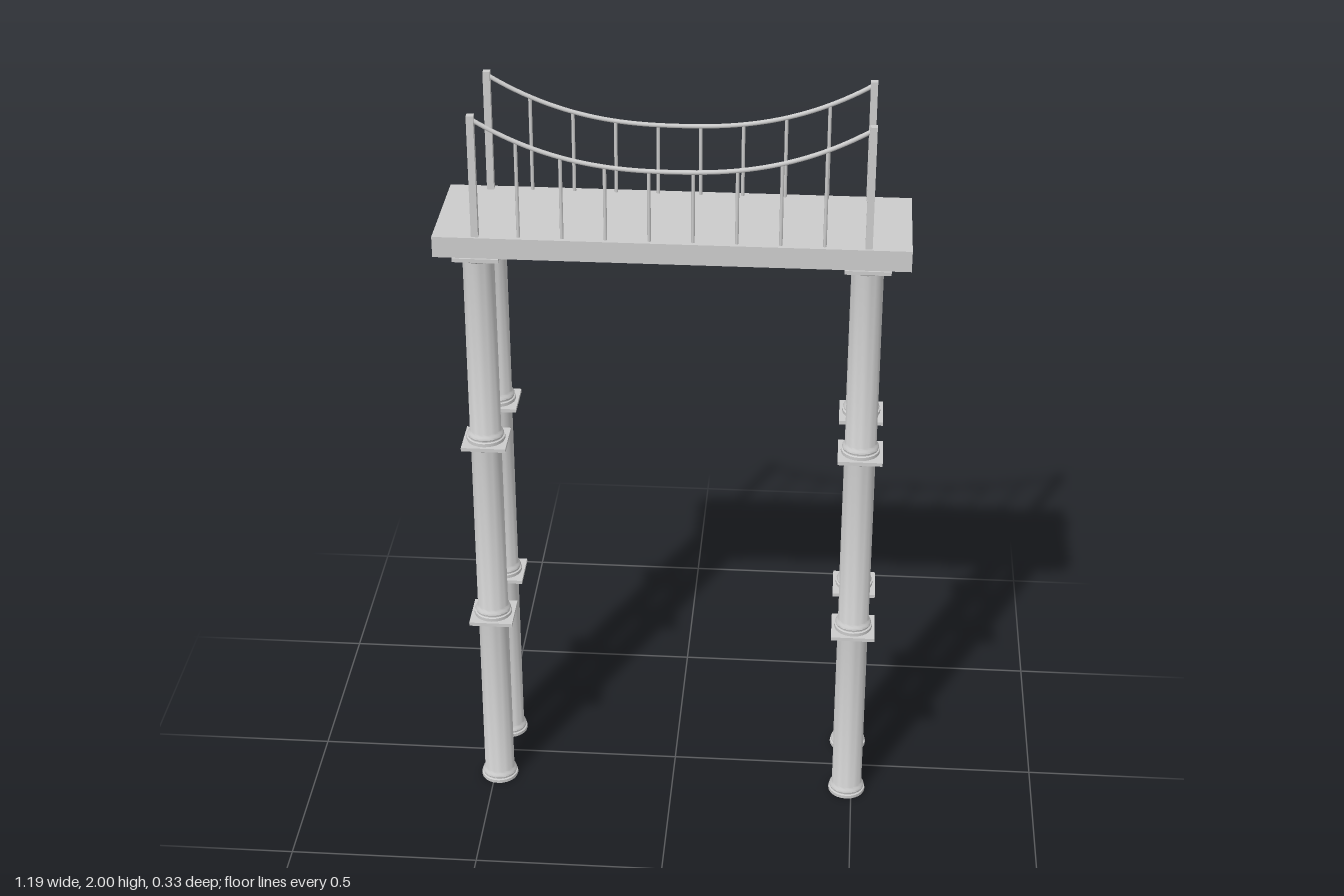
import * as THREE from 'three';
import { toCreasedNormals } from 'three/addons/utils/BufferGeometryUtils.js';

const material = new THREE.MeshStandardMaterial({ color: 0xcccccc });

const COLUMN_X = 0.487, COLUMN_Z = 0.108, SEGMENT = 0.5417;
const DECK_BOTTOM = 1.625, DECK_TOP = 1.68, RAIL_Z = 0.146;

function add(parent, name, geometry, x = 0, y = 0, z = 0) {
  const mesh = new THREE.Mesh(geometry, material);
  mesh.name = name;
  mesh.position.set(x, y, z);
  parent.add(mesh);
  return mesh;
}

// One column drum: ringed base, plain shaft and a flared neck
function drumGeometry() {
  const profile = [
    [0, 0], [0.05, 0], [0.051, 0.004], [0.05, 0.009], [0.046, 0.011],
    [0.046, 0.014], [0.048, 0.017], [0.046, 0.022], [0.043, 0.026],
    [0.041, 0.03], [0.04, SEGMENT - 0.021], [0.044, SEGMENT - 0.019],
    [0.05, SEGMENT - 0.01], [0, SEGMENT - 0.01],
  ].map(([r, y]) => new THREE.Vector2(r, y));
  return toCreasedNormals(new THREE.LatheGeometry(profile, 24), 0.6);
}

// Height of the hanging cable at x
const cableHeight = (x) => 1.866 + 0.124 * Math.pow(Math.abs(x) / COLUMN_X, 2.4);

export function createModel() {
  const model = new THREE.Group();
  model.name = 'bridgeSection';

  // Deck slab
  add(model, 'deck', new THREE.BoxGeometry(1.188, DECK_TOP - DECK_BOTTOM, 0.322),
    0, (DECK_TOP + DECK_BOTTOM) / 2, 0);

  // Four columns, each of three stacked drums with square capitals
  const drum = drumGeometry();
  const plate = new THREE.BoxGeometry(0.116, 0.01, 0.116);
  for (const sx of [-1, 1]) {
    for (const sz of [-1, 1]) {
      const column = new THREE.Group();
      column.name = 'column';
      column.position.set(sx * COLUMN_X, 0, sz * COLUMN_Z);
      for (let i = 0; i < 3; i++) {
        add(column, 'columnDrum', drum, 0, i * SEGMENT, 0);
        add(column, 'capitalPlate', plate, 0, (i + 1) * SEGMENT - 0.005, 0);
      }
      model.add(column);
    }
  }

  // Cable railings along both long sides
  const cablePoints = [];
  for (let i = 0; i <= 24; i++) {
    const x = COLUMN_X * (i / 12 - 1);
    cablePoints.push(new THREE.Vector3(x, cableHeight(x), 0));
  }
  const cable = new THREE.TubeGeometry(new THREE.CatmullRomCurve3(cablePoints), 48, 0.006, 8);
  const post = new THREE.BoxGeometry(0.018, 2 - DECK_TOP, 0.018);
  for (const sz of [-1, 1]) {
    const railing = new THREE.Group();
    railing.name = 'railing';
    railing.position.z = sz * RAIL_Z;
    add(railing, 'cable', cable);
    for (const sx of [-1, 1]) add(railing, 'post', post, sx * COLUMN_X, (2 + DECK_TOP) / 2, 0);
    // Hangers from cable to deck
    for (let i = 1; i < 9; i++) {
      const x = COLUMN_X * (2 * i / 9 - 1);
      const height = cableHeight(x) - DECK_TOP;
      add(railing, 'hanger', new THREE.CylinderGeometry(0.0045, 0.0045, height, 8),
        x, DECK_TOP + height / 2, 0);
    }
    model.add(railing);
  }

  return model;
}
